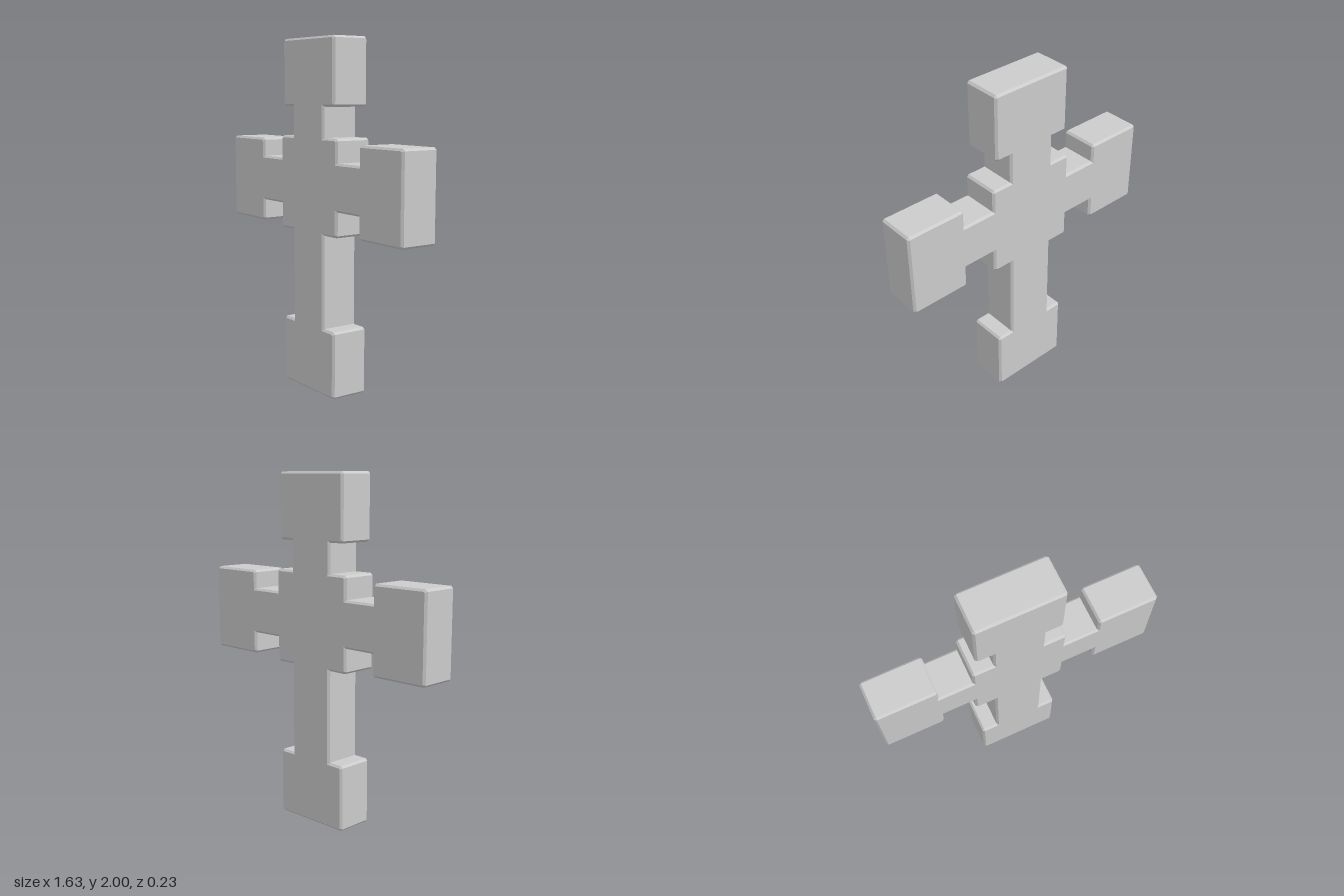
import * as THREE from 'three';

const BEVEL = 0.012;
const DEPTH = 0.228;

// Right half of the outline, bottom to top
const half = [
  [0.245, 0], [0.245, 0.384], [0.147, 0.384], [0.147, 0.915],   // foot block, stem
  [0.27, 0.915], [0.27, 1.057], [0.465, 1.057], [0.465, 0.932], // hub, underside of arm
  [0.817, 0.932], [0.817, 1.429], [0.465, 1.429], [0.465, 1.322], // arm end block
  [0.27, 1.322], [0.27, 1.453], [0.147, 1.453], [0.147, 1.622], // top of arm, hub, neck
  [0.245, 1.622], [0.245, 2],                                   // head block
];

// Cuts every outward corner with a small chamfer, leaves inward corners sharp
function chamferOutline(points, size) {
  const result = [];
  points.forEach((p, i) => {
    const prev = points[(i + points.length - 1) % points.length];
    const next = points[(i + 1) % points.length];
    const a = prev.clone().sub(p).normalize();
    const b = next.clone().sub(p).normalize();
    if (b.cross(a) > 0) {
      result.push(p.clone().addScaledVector(a, size), p.clone().addScaledVector(b, size));
    } else {
      result.push(p);
    }
  });
  return result;
}

export function createModel() {
  const group = new THREE.Group();
  group.name = 'cross';

  // Mirror the half outline to close the loop
  const outline = [...half, ...half.map(([x, y]) => [-x, y]).reverse()]
    .map(([x, y]) => new THREE.Vector2(x, y));

  // Slab with chamfered edges on front and back
  const geometry = new THREE.ExtrudeGeometry(new THREE.Shape(chamferOutline(outline, BEVEL)), {
    depth: DEPTH - 2 * BEVEL,
    bevelEnabled: true,
    bevelSegments: 1,
    bevelThickness: BEVEL,
    bevelSize: BEVEL,
    bevelOffset: -BEVEL,
  });
  geometry.translate(0, 0, BEVEL - DEPTH / 2 - BEVEL + BEVEL);

  const body = new THREE.Mesh(
    geometry,
    new THREE.MeshStandardMaterial({ color: 0xcccccc, flatShading: true })
  );
  body.name = 'crossBody';
  group.add(body);
  return group;
}
